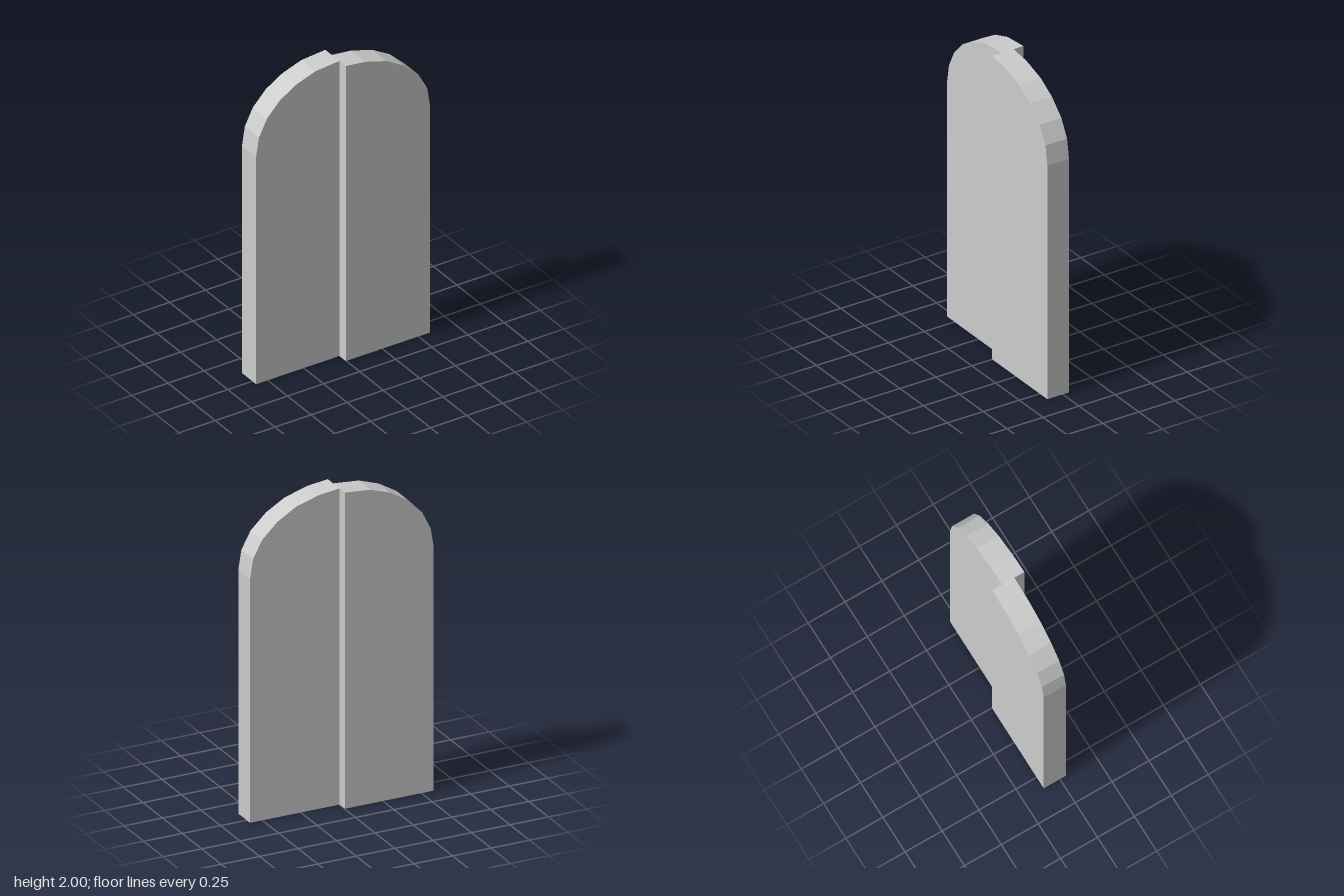
import * as THREE from 'three';

const HEIGHT = 2, HALF_WIDTH = 0.58, DEPTH = 0.15, SEAM = -0.003;

// Faceted arch outlines, from the crown down to the springing line
const leftArch = [[0.13, 1.985], [0.28, 1.94], [0.4, 1.87], [0.5, 1.775], [0.56, 1.665], [HALF_WIDTH, 1.54]];
const rightArch = [[-0.17, 1.985], [-0.3, 1.94], [-0.415, 1.87], [-0.505, 1.775], [-0.56, 1.665], [-HALF_WIDTH, 1.54]];

export function createModel() {
  const group = new THREE.Group();
  const grey = new THREE.MeshStandardMaterial({ color: 0xcccccc, flatShading: true });
  grey.name = 'light grey';

  // One door leaf: straight sides, half an arch on top, extruded to its thickness
  function addLeaf(name, arch, back) {
    const shape = new THREE.Shape();
    shape.moveTo(SEAM, 0);
    shape.lineTo(SEAM, HEIGHT);
    arch.forEach(([x, y]) => shape.lineTo(x, y));
    shape.lineTo(arch[arch.length - 1][0], 0);
    shape.closePath();
    const geometry = new THREE.ExtrudeGeometry(shape, { depth: DEPTH, bevelEnabled: false });
    const leaf = new THREE.Mesh(geometry, grey);
    leaf.name = name;
    leaf.position.z = back;
    group.add(leaf);
  }

  // The two leaves overlap in depth, the left one standing forward
  addLeaf('leftLeaf', leftArch, -0.042);
  addLeaf('rightLeaf', rightArch, -0.11);
  return group;
}
